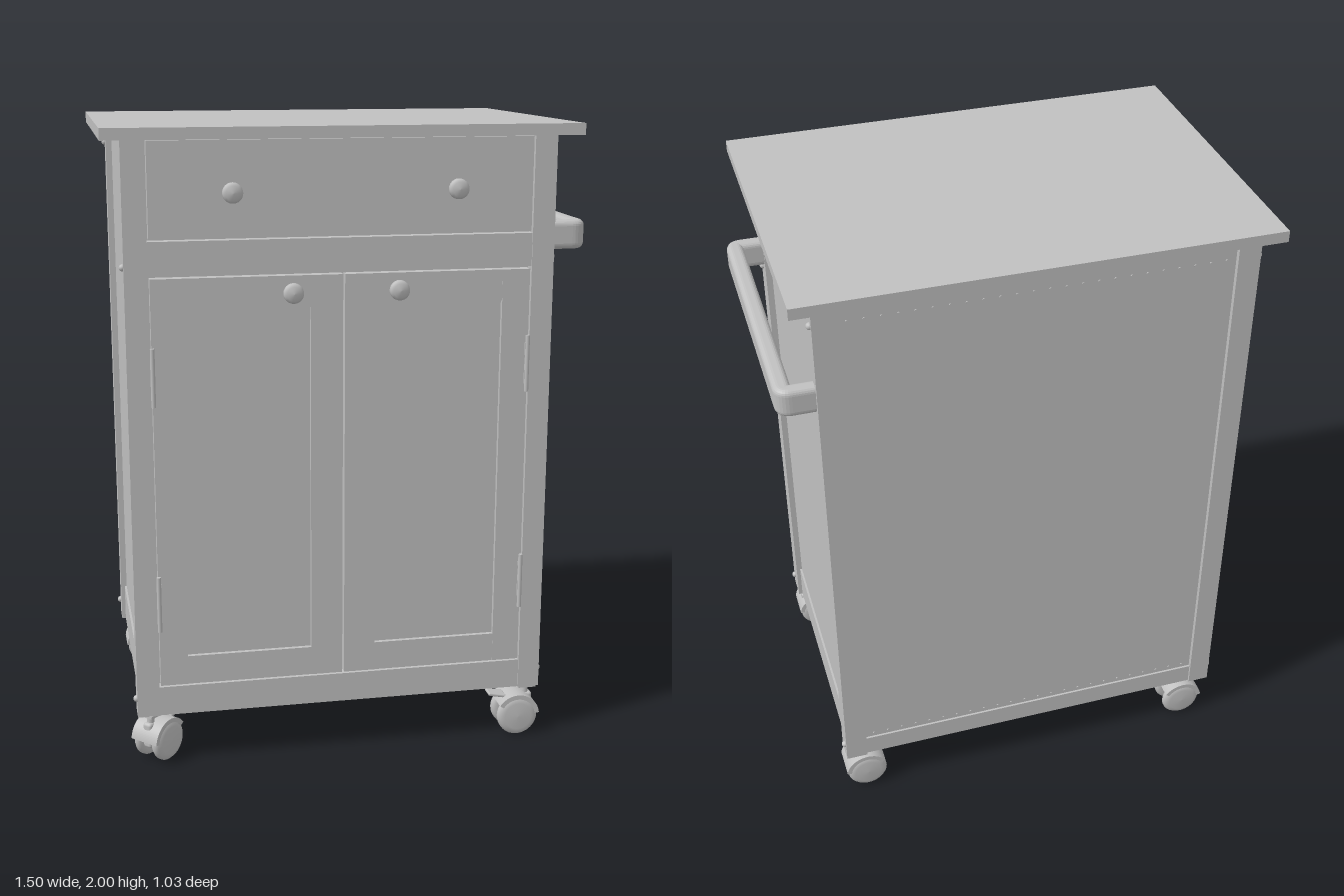
import * as THREE from 'three';
import { RoundedBoxGeometry } from 'three/addons/geometries/RoundedBoxGeometry.js';

export function createModel() {
  const root = new THREE.Group();
  root.name = 'kitchenCart';
  const grey = new THREE.MeshStandardMaterial({ color: 0xc0c0c0 });
  grey.name = 'plain grey';
  const greyOpen = grey; // one colour for the whole cart

  const add = (name, geo, parent = root) => {
    const m = new THREE.Mesh(geo, greyOpen);
    m.name = name;
    parent.add(m);
    return m;
  };
  // Box given by its limits on each axis
  const box = (name, x0, x1, y0, y1, z0, z1, parent = root) => {
    const m = add(name, new THREE.BoxGeometry(x1 - x0, y1 - y0, z1 - z0), parent);
    m.position.set((x0 + x1) / 2, (y0 + y1) / 2, (z0 + z1) / 2);
    return m;
  };

  const L = -0.69, R = 0.63, F = 0.455, B = -0.475, Y0 = 0.165, Y1 = 1.965;
  const MID = (L + R) / 2;

  // Worktop and corner posts
  box('worktop', -0.75, 0.695, Y1, 2, -0.515, 0.515);
  for (const [x0, x1] of [[L, L + 0.07], [R - 0.07, R]]) {
    box('frontPost', x0, x1, Y0, Y1, F - 0.08, F);
    box('backPost', x0, x1, Y0, Y1, B, B + 0.075);
  }

  // Sides: recessed panel over a bottom rail
  for (const s of [-1, 1]) {
    const edge = s < 0 ? L : R;
    const slab = (name, inset, y0, y1) => {
      const a = edge - s * inset, b = edge - s * 0.05;
      box(name, Math.min(a, b), Math.max(a, b), y0, y1, B + 0.075, F - 0.08);
    };
    slab('sidePanel', 0.02, 0.29, Y1);
    slab('sideRail', 0.013, Y0, 0.29);
  }

  // Back and floor
  box('backPanel', L + 0.07, R - 0.07, 0.235, Y1, B + 0.015, B + 0.04);
  box('backRail', L + 0.07, R - 0.07, Y0, 0.235, B + 0.008, B + 0.04);
  box('floor', L + 0.05, R - 0.05, Y0 + 0.002, Y0 + 0.03, B + 0.02, F - 0.02);

  // Front rails and drawer
  box('bottomRail', L + 0.07, R - 0.07, Y0, 0.26, F - 0.04, F - 0.004);
  box('middleRail', L + 0.07, R - 0.07, 1.565, 1.667, F - 0.04, F - 0.004);
  box('drawerFront', L + 0.075, R - 0.075, 1.674, 1.96, F - 0.04, F);
  box('frontBacking', L + 0.07, R - 0.07, Y0, Y1, F - 0.06, F - 0.04);

  // Knob turned on a lathe, pointing forward
  const knobGeo = new THREE.LatheGeometry([
    [0, 0], [0.018, 0], [0.012, 0.008], [0.011, 0.026], [0.024, 0.032],
    [0.031, 0.042], [0.03, 0.054], [0.022, 0.063], [0, 0.066],
  ].map(p => new THREE.Vector2(...p)), 24).rotateX(Math.PI / 2);
  const knob = (x, y) => add('knob', knobGeo).position.set(x, y, F - 0.002);
  knob(MID - 0.34, 1.81);
  knob(MID + 0.34, 1.81);

  // Framed doors with knob and hinges
  for (const s of [-1, 1]) {
    const door = new THREE.Group();
    door.name = s < 0 ? 'rightDoor' : 'leftDoor';
    root.add(door);
    const part = (name, a, b, y0, y1, z0, z1) =>
      box(name, MID + Math.min(s * a, s * b), MID + Math.max(s * a, s * b), y0, y1, z0, z1, door);
    part('innerStile', 0.003, 0.103, 0.267, 1.557, F - 0.035, F);
    part('outerStile', 0.498, 0.585, 0.267, 1.557, F - 0.035, F);
    part('topDoorRail', 0.103, 0.498, 1.46, 1.557, F - 0.035, F - 0.001);
    part('bottomDoorRail', 0.103, 0.498, 0.267, 0.36, F - 0.035, F - 0.001);
    part('doorPanel', 0.103, 0.498, 0.36, 1.46, F - 0.035, F - 0.015);
    knob(MID + s * 0.162, 1.51);
    for (const y of [0.54, 1.26]) {
      part('hingeLeaf', 0.575, 0.59, y - 0.065, y + 0.065, F - 0.01, F + 0.004);
      const pin = add('hingePin', new THREE.CylinderGeometry(0.007, 0.007, 0.18, 12), door);
      pin.position.set(MID + s * 0.583, y, F + 0.004);
    }
  }

  // Towel bar: U-shaped plan extruded upward with rounded edges
  const bev = 0.018;
  const u = new THREE.Shape();
  const xo = 0.745 - bev, xi = 0.692 + bev, zb = -0.462 + bev, zf = 0.43 - bev, w = 0.012;
  u.moveTo(R - 0.015, -zb);
  u.lineTo(xo - 0.03, -zb);
  u.quadraticCurveTo(xo, -zb, xo, -zb - 0.03);
  u.lineTo(xo, -zf + 0.03);
  u.quadraticCurveTo(xo, -zf, xo - 0.03, -zf);
  u.lineTo(R - 0.015, -zf);
  u.lineTo(R - 0.015, -zf + w);
  u.lineTo(xi, -zf + w);
  u.lineTo(xi, -zb - w);
  u.lineTo(R - 0.015, -zb - w);
  const barGeo = new THREE.ExtrudeGeometry(u, {
    depth: 0.09 - 2 * bev, bevelEnabled: true, bevelThickness: bev,
    bevelSize: bev, bevelSegments: 5, curveSegments: 8,
  }).rotateX(-Math.PI / 2);
  add('towelBar', barGeo).position.y = 1.61 + bev;

  // Side screw heads
  const screwGeo = new THREE.SphereGeometry(0.011, 12, 8);
  for (const [x, s] of [[L, -1], [R, 1]]) {
    for (const [y, z] of [[1.59, 0.425], [0.22, 0.43], [1.9, -0.455], [0.22, -0.455]]) {
      add('screw', screwGeo).position.set(x + s * 0.001, y, z);
    }
  }
  // Rows of small nails along the back
  const nailGeo = new THREE.CylinderGeometry(0.004, 0.004, 0.004, 8).rotateX(Math.PI / 2);
  for (let i = 0; i < 24; i++) {
    const x = L + 0.1 + (i / 23) * (R - L - 0.2);
    add('nail', nailGeo).position.set(x, 1.9, B + 0.014);
    add('nail', nailGeo).position.set(x, 0.25, B + 0.014);
  }

  // Twin-wheel caster; local axle along z, wheels trailing toward -x
  const wheelGeo = new THREE.LatheGeometry([
    [0, -0.018], [0.05, -0.018], [0.062, -0.012], [0.067, -0.004],
    [0.067, 0.006], [0.06, 0.014], [0.045, 0.019], [0, 0.021],
  ].map(p => new THREE.Vector2(...p)), 32).rotateX(Math.PI / 2);
  const hood = new THREE.Shape();
  hood.absarc(0, 0, 0.073, 0.1, Math.PI * 0.82, false);
  hood.absarc(0, 0, 0.058, Math.PI * 0.82, 0.1, true);
  const hoodGeo = new THREE.ExtrudeGeometry(hood, { depth: 0.104, bevelEnabled: false, curveSegments: 20 });
  const caster = (x, z, turn, brake) => {
    const g = new THREE.Group();
    g.name = 'caster';
    g.position.set(x, 0, z);
    g.rotation.y = turn;
    root.add(g);
    add('stem', new THREE.CylinderGeometry(0.012, 0.012, 0.07, 16), g).position.y = 0.135;
    box('mountPlate', -0.03, 0.03, 0.157, 0.166, -0.03, 0.03, g);
    for (const s of [-1, 1]) {
      const wheel = add('wheel', wheelGeo, g);
      wheel.position.set(-0.036, 0.067, s * 0.036);
      if (s < 0) wheel.rotation.y = Math.PI;
    }
    add('hood', hoodGeo, g).position.set(-0.036, 0.067, -0.052);
    const core = add('core', new RoundedBoxGeometry(0.075, 0.085, 0.034, 2, 0.01), g);
    core.position.set(-0.015, 0.09, 0);
    if (brake) {
      const lever = add('brakeLever', new RoundedBoxGeometry(0.06, 0.01, 0.05, 2, 0.004), g);
      lever.position.set(-0.1, 0.133, 0);
      lever.rotation.z = -0.2;
    }
  };
  caster(0.595, 0.418, 0, true);
  caster(0.595, -0.413, 0, false);
  caster(-0.64, -0.413, Math.PI, false);
  caster(-0.648, 0.42, Math.PI * 1.25, true);

  return root;
}
